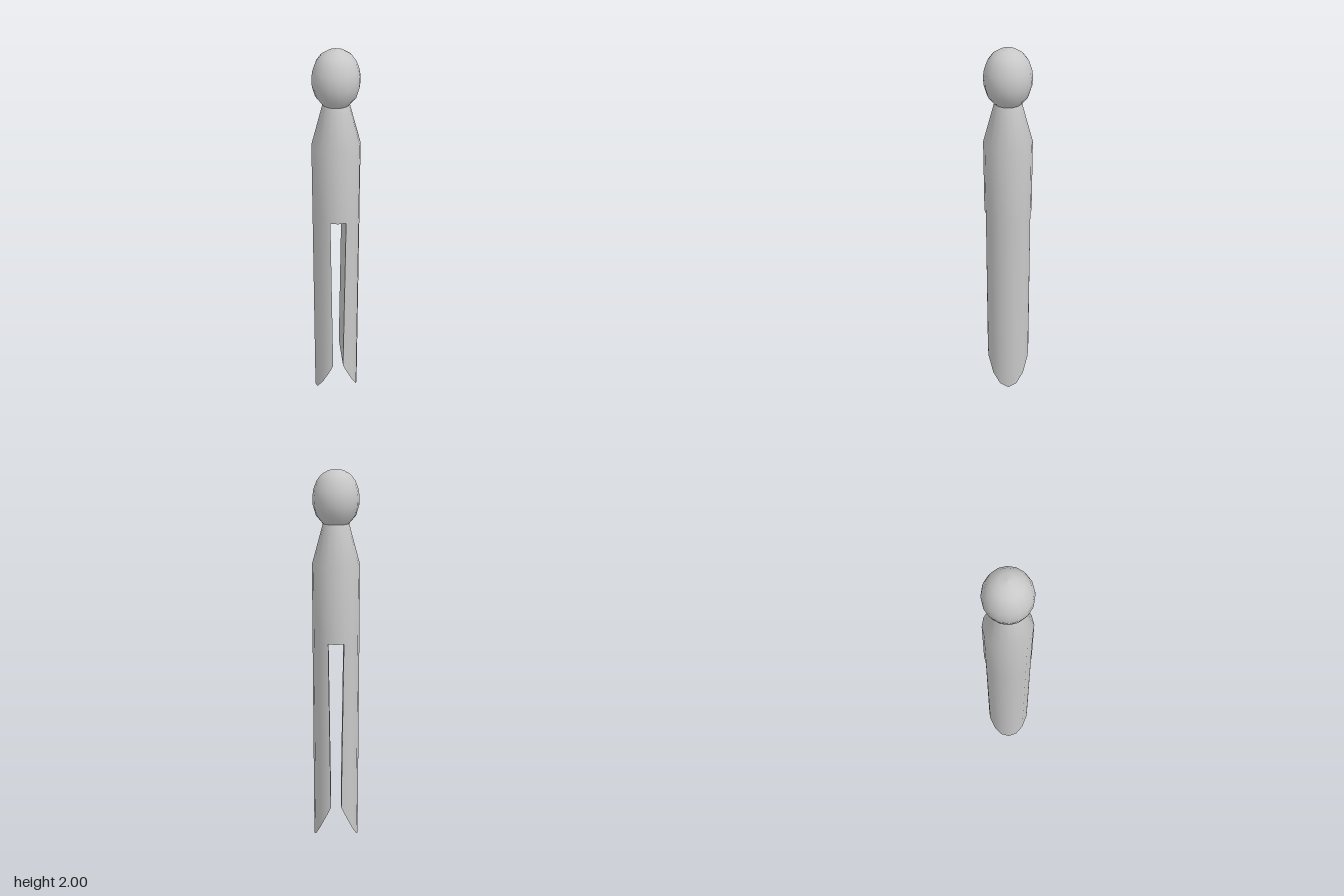
import * as THREE from 'three';

const SIDES = 16, R = 0.122, SLOT_TOP = 1.14;

export function createModel() {
  const wood = new THREE.MeshStandardMaterial({ color: 0xc8c8c8 });
  wood.name = 'plain grey';
  const model = new THREE.Group();
  model.name = 'clothesPeg';

  const add = (name, geometry) => {
    const mesh = new THREE.Mesh(geometry, wood);
    mesh.name = name;
    model.add(mesh);
    return mesh;
  };
  const lathe = (pts) =>
    new THREE.LatheGeometry(pts.map(([r, y]) => new THREE.Vector2(r, y)), SIDES);

  // Rounded head
  add('head', lathe([
    [0.066, 1.735], [0.1, 1.775], [0.115, 1.825], [0.117, 1.865], [0.112, 1.9],
    [0.097, 1.942], [0.073, 1.973], [0.04, 1.993], [0, 2],
  ]));

  // Sloping shoulders and barrel
  add('body', lathe([[R, SLOT_TOP], [R, 1.53], [0.066, 1.735]]));

  // Ceiling of the slot
  const ceiling = new THREE.CircleGeometry(R, SIDES);
  ceiling.rotateX(Math.PI / 2);
  ceiling.translate(0, SLOT_TOP, 0);
  add('slotCeiling', ceiling);

  // Cut profile: [distance of the cut from the centre, height]
  const cornerX = (k) => R * Math.cos((k * 2 * Math.PI) / SIDES);
  const bevelY = (x) => 0.22 * (R - x) / (R - 0.028);
  const levels = [[0.04, SLOT_TOP], [0.028, 0.22]];
  for (let k = 3; k >= 0; k--) levels.push([cornerX(k), bevelY(cornerX(k))]);

  // Half of the barrel's polygon, trimmed where x is less than the cut
  const section = ([cut, y]) => {
    const row = [];
    for (let k = -4; k <= 4; k++) {
      let j = Math.abs(k);
      let x = cornerX(j), z = R * Math.sin((j * 2 * Math.PI) / SIDES);
      if (x < cut - 1e-6) {
        while (j > 1 && cornerX(j - 1) < cut - 1e-6) j--;
        const t = (cut - cornerX(j)) / (cornerX(j - 1) - cornerX(j));
        const z0 = R * Math.sin((j * 2 * Math.PI) / SIDES);
        const z1 = R * Math.sin(((j - 1) * 2 * Math.PI) / SIDES);
        x = cut;
        z = z0 + (z1 - z0) * t;
      }
      row.push(new THREE.Vector3(x, y, Math.sign(k) * z));
    }
    return row;
  };
  const rows = levels.map(section);

  const buildSurface = (triangles) => {
    const solid = triangles.filter((t) => new THREE.Triangle(...t).getArea() > 1e-9);
    const geometry = new THREE.BufferGeometry().setFromPoints(solid.flat());
    geometry.computeVertexNormals();
    return geometry;
  };

  const outer = [], inner = [];
  for (let i = 0; i < rows.length - 1; i++) {
    const top = rows[i], low = rows[i + 1];
    for (let k = 0; k < 8; k++) {
      outer.push([top[k], top[k + 1], low[k]], [top[k + 1], low[k + 1], low[k]]);
    }
    inner.push([top[0], low[0], top[8]], [top[8], low[0], low[8]]);
  }

  // Round outside of a leg, shaded smoothly
  const outerGeometry = buildSurface(outer);
  const pos = outerGeometry.attributes.position;
  for (let i = 0; i < pos.count; i++) {
    const n = new THREE.Vector3(pos.getX(i), 0, pos.getZ(i)).normalize();
    outerGeometry.attributes.normal.setXYZ(i, n.x, 0, n.z);
  }
  const innerGeometry = buildSurface(inner);

  // Two matching legs
  for (const [side, turn] of [['left', 0], ['right', Math.PI]]) {
    add(side + 'LegOutside', outerGeometry).rotation.y = turn;
    add(side + 'LegInside', innerGeometry).rotation.y = turn;
  }
  return model;
}
